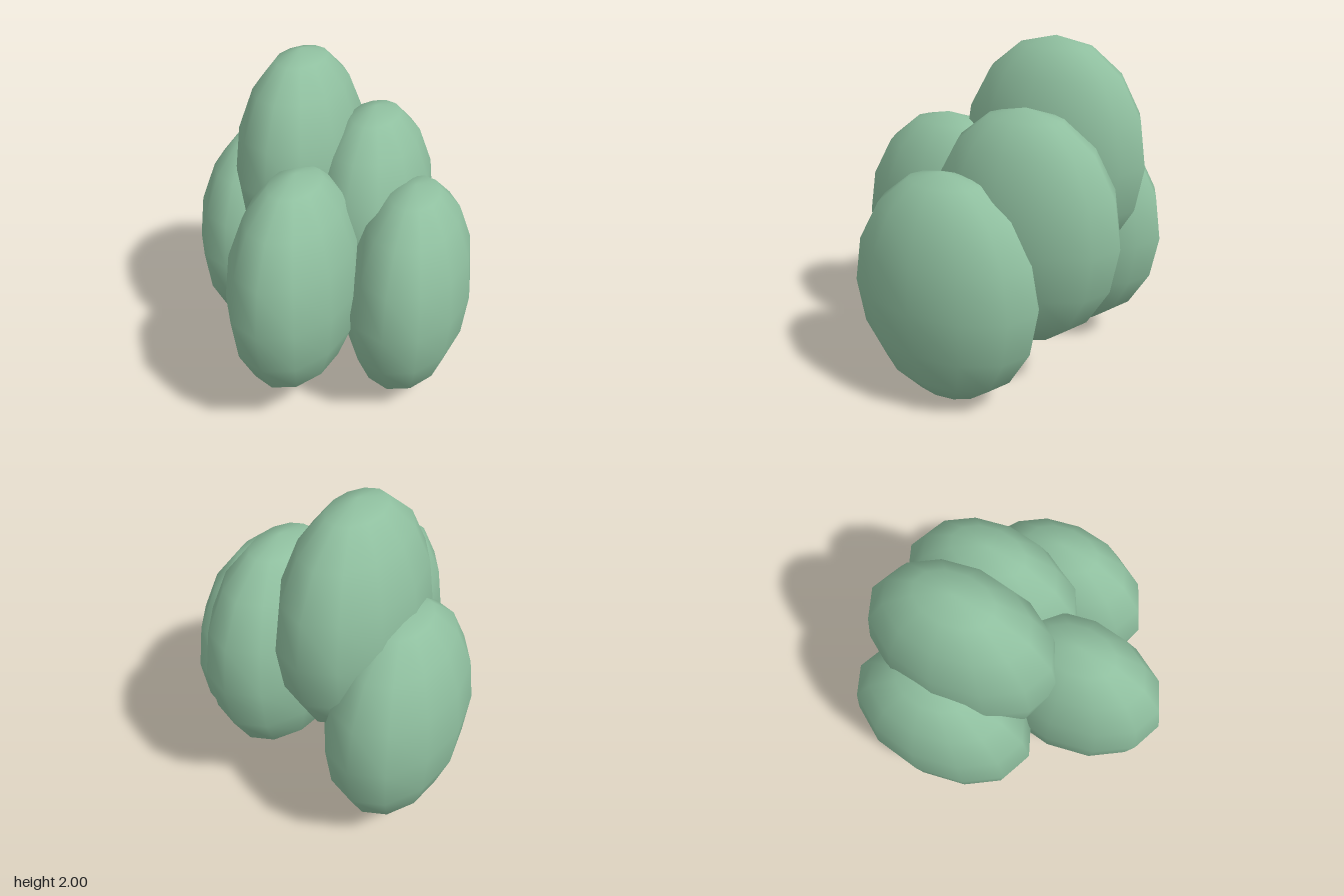
import * as THREE from 'three';

export function createModel() {
  const group = new THREE.Group();
  group.name = 'padCluster';

  const leafGreen = new THREE.MeshStandardMaterial({ color: 0x8fbf9f });
  leafGreen.name = 'leafGreen';

  // One flattened low-sided ellipsoid, shared by every pad
  const padShape = new THREE.SphereGeometry(1, 12, 8);
  padShape.scale(0.366, 0.69, 0.578);

  // Pad centres
  const pads = {
    rearLeftPad: [0.2, 1.0, -0.33],
    rearRightPad: [-0.54, 0.765, -0.3],
    topPad: [-0.24, 1.31, -0.275],
    frontPad: [-0.045, 0.83, 0.33],
    sideLeftPad: [0.538, 0.69, -0.03],
  };

  for (const [name, centre] of Object.entries(pads)) {
    const pad = new THREE.Mesh(padShape, leafGreen);
    pad.name = name;
    pad.position.set(...centre);
    group.add(pad);
  }
  return group;
}
